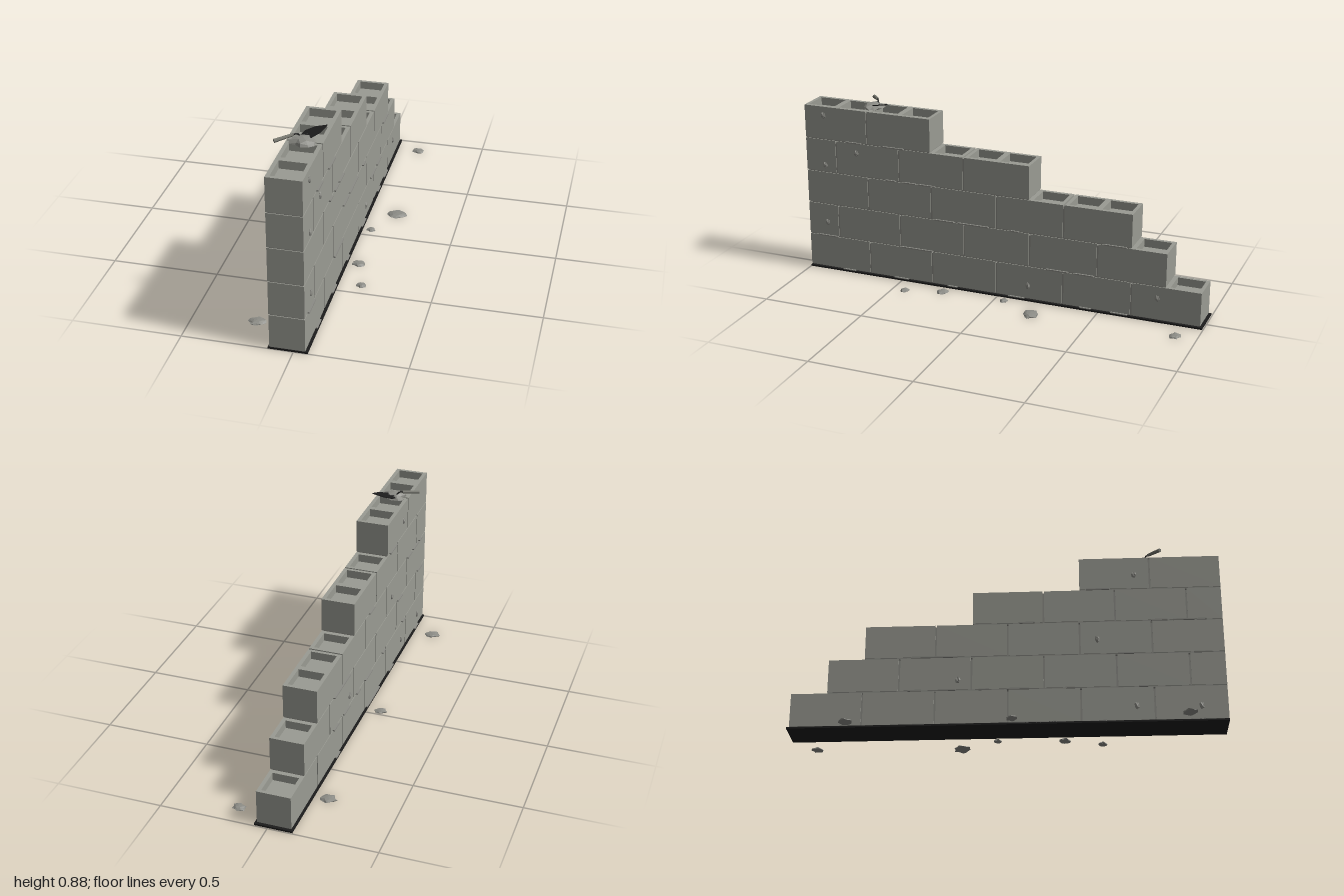
import * as THREE from 'three';

const mat = (name, color, extra = {}) => Object.assign(new THREE.MeshStandardMaterial({ color, ...extra }), { name });

export function createModel() {
  const root = new THREE.Group();
  root.name = 'blockWall';
  const block = mat('concrete', 0x9a9b93);
  const mortar = mat('mortar', 0x8c8c86, { flatShading: true });
  const dark = mat('darkSteel', 0x1c1c1c);
  const grip = mat('gripGrey', 0x77776f, { flatShading: true });

  let seed = 11;
  const rnd = () => (seed = (seed * 16807) % 2147483647) / 2147483647;
  const add = (name, geo, material, parent = root) => {
    const m = new THREE.Mesh(geo, material);
    m.name = name;
    parent.add(m);
    return m;
  };
  const box = (name, w, h, d, x, y, z, material, parent) => {
    const m = add(name, new THREE.BoxGeometry(w, h, d), material, parent);
    m.position.set(x, y, z);
    return m;
  };
  const rect = (P, x0, y0, x1, y1) => {
    const p = new P();
    p.moveTo(x0, y0);
    p.lineTo(x1, y0);
    p.lineTo(x1, y1);
    p.lineTo(x0, y1);
    p.closePath();
    return p;
  };

  // Wall dimensions
  const CX = -0.026, W = 0.158, H = 0.16, PITCH = 0.1655, BASE = 0.012, CELL = 0.166, GAP = 0.008;

  // Hollow block with one or two square cells and a shallow floor
  function makeBlock(cells, zFront, y) {
    const len = cells * CELL - GAP, g = new THREE.Group();
    g.name = cells === 2 ? 'fullBlock' : 'halfBlock';
    const s = rect(THREE.Shape, -W / 2, -len / 2, W / 2, len / 2);
    for (let c = 0; c < cells; c++) {
      const mid = (c - (cells - 1) / 2) * CELL * 0.96;
      s.holes.push(rect(THREE.Path, -0.061, mid - 0.066, 0.061, mid + 0.066));
    }
    const geo = new THREE.ExtrudeGeometry(s, { depth: H, bevelEnabled: false });
    geo.rotateX(-Math.PI / 2);
    add('blockShell', geo, block, g);
    box('cellFloor', W - 0.02, H - 0.04, len - 0.02, 0, H / 2 - 0.018, 0, block, g);
    g.position.set(CX, y, zFront - len / 2);
    root.add(g);
  }

  // Courses from the ground up, each a list of cells per block
  const courses = [
    [2, 2, 2, 2, 2, 2],
    [1, 2, 2, 2, 2, 2],
    [2, 2, 2, 2, 2],
    [1, 2, 2, 2],
    [2, 2],
  ];
  courses.forEach((row, i) => {
    const y = BASE + i * PITCH;
    let z = 1;
    row.forEach((cells, k) => {
      makeBlock(cells, z, y);
      z -= cells * CELL;
      if (k < row.length - 1)
        box('headJoint', W - 0.008, H - 0.008, GAP + 0.002, CX, y + H / 2 - 0.004, z + GAP / 2, mortar);
    });
    // Bed joint below the course, with mortar squeezed out along both faces
    const len = 1 - z - GAP;
    box('bedJoint', W - 0.008, 0.0075, len - 0.008, CX, y - 0.0028, 1 - len / 2, mortar);
    for (const side of [-1, 1])
      for (let n = 0; n < row.length; n++) {
        const d = 0.04 + rnd() * 0.07;
        box('squeezedMortar', 0.012, 0.006, d, CX + side * (W / 2 + 0.002), y - 0.0026,
          1 - d / 2 - 0.02 - rnd() * (len - d - 0.04), mortar);
      }
  });

  // Dark footing strip
  box('footing', 0.176, 0.008, 1.995, CX + 0.001, 0.004, 0.0025, dark);

  // Irregular faceted lump; flatBase cuts it off at its base
  function lump(name, x, y, z, sx, sy, sz, flatBase) {
    const geo = new THREE.IcosahedronGeometry(1, 1);
    const p = geo.attributes.position, k = rnd() * 9;
    for (let i = 0; i < p.count; i++) {
      const a = p.getX(i), b = p.getY(i), c = p.getZ(i);
      const f = 0.9 + 0.17 * Math.sin(a * 4.1 + c * 5.3 + b * 2 + k);
      p.setXYZ(i, a * f * sx, (flatBase ? Math.max(b, 0) : b * f) * sy, c * f * sz);
    }
    geo.computeVertexNormals();
    add(name, geo, mortar).position.set(x, y, z);
  }

  // Mortar droppings on the ground: x, z, radius
  [
    [0.17, -0.9, 0.033], [-0.175, -0.715, 0.041], [0.195, -0.22, 0.05], [0.102, -0.05, 0.023],
    [-0.178, 0.03, 0.033], [0.113, 0.26, 0.033], [0.165, 0.435, 0.025], [-0.21, 0.82, 0.043],
  ].forEach(([x, z, r]) => lump('groundDropping', x, 0, z, r, 0.012, r * 0.85, true));

  // Splashes stuck to the faces: side, y, z
  [
    [1, 0.79, 0.9], [1, 0.54, 0.9], [1, 0.62, 0.73], [1, 0.245, 0.9], [1, 0.075, -0.15], [1, 0.115, -0.78],
    [-1, 0.745, 0.6], [-1, 0.415, 0.42], [-1, 0.225, -0.22], [-1, 0.08, 0.59], [-1, 0.075, 0.88],
  ].forEach(([s, y, z]) => lump('faceSplash', CX + s * W / 2, y, z, 0.009, 0.018, 0.012, false));

  // Heap of mortar on the top course
  lump('mortarHeap', -0.033, 0.832, 0.67, 0.062, 0.027, 0.05, true);

  // Trowel resting on the heap, blade pointing along local +x
  const trowel = new THREE.Group();
  trowel.name = 'trowel';
  trowel.position.set(-0.03, 0.846, 0.64);
  trowel.rotation.y = 0.64;
  root.add(trowel);

  const outline = new THREE.Shape();
  [[-0.012, -0.018], [0.012, -0.035], [0.06, -0.028], [0.104, 0], [0.06, 0.028], [0.012, 0.035], [-0.012, 0.018]]
    .forEach(([x, y], i) => (i ? outline.lineTo(x, y) : outline.moveTo(x, y)));
  const bladeGeo = new THREE.ExtrudeGeometry(outline, { depth: 0.004, bevelEnabled: false });
  bladeGeo.rotateX(-Math.PI / 2);
  add('blade', bladeGeo, dark, trowel).rotation.z = 0.28;

  const neck = new THREE.CatmullRomCurve3([
    new THREE.Vector3(0.01, 0.006, 0), new THREE.Vector3(-0.02, 0.004, 0),
    new THREE.Vector3(-0.038, 0.018, 0), new THREE.Vector3(-0.06, 0.016, 0),
  ]);
  add('neck', new THREE.TubeGeometry(neck, 12, 0.0035, 6), dark, trowel);

  const handle = add('handle', new THREE.CylinderGeometry(0.007, 0.009, 0.088, 8), grip, trowel);
  handle.position.set(-0.098, 0.011, 0);
  handle.rotation.z = -Math.PI / 2 + 0.14;

  return root;
}
